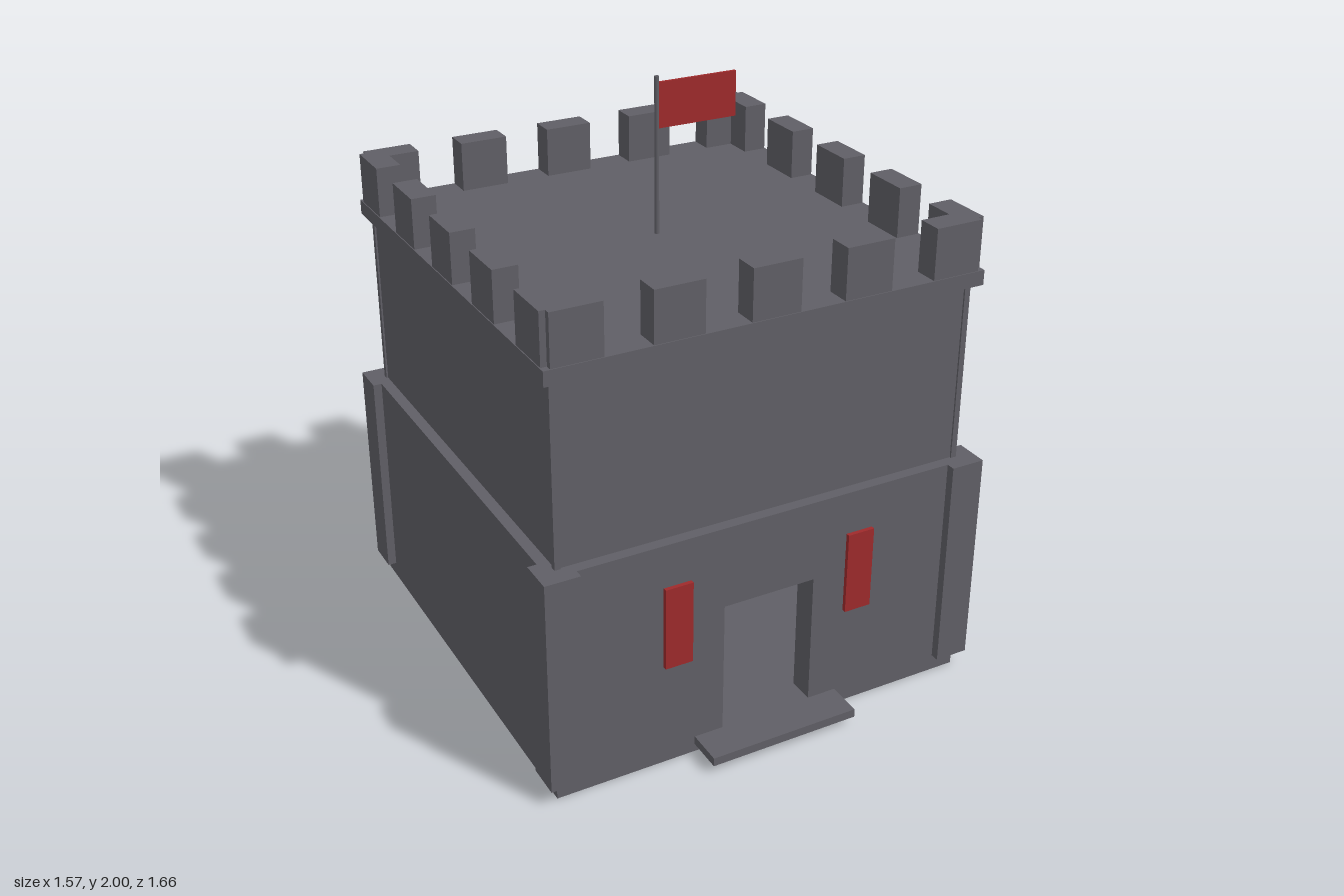
import * as THREE from 'three';

export function createModel() {
  const model = new THREE.Group();
  const stone = new THREE.MeshStandardMaterial({ color: 0x605f66 });
  stone.name = 'stone';
  const red = new THREE.MeshStandardMaterial({ color: 0x9e2a2b });
  red.name = 'red';

  // The square keep is set back a little to leave room for the doorstep
  const keep = new THREE.Group();
  keep.name = 'keep';
  keep.position.z = -0.047;
  model.add(keep);

  function add(parent, name, geometry, material = stone) {
    const mesh = new THREE.Mesh(geometry, material);
    mesh.name = name;
    parent.add(mesh);
    return mesh;
  }
  // Box given by its lower and upper corners
  function box(parent, name, [x0, y0, z0], [x1, y1, z1], material) {
    const mesh = add(parent, name, new THREE.BoxGeometry(x1 - x0, y1 - y0, z1 - z0), material);
    mesh.position.set((x0 + x1) / 2, (y0 + y1) / 2, (z0 + z1) / 2);
    return mesh;
  }

  // Plinth, upper storey and roof slab
  box(keep, 'plinth', [-0.75, 0, -0.75], [0.75, 0.06, 0.75]);
  box(keep, 'upperStorey', [-0.715, 0.81, -0.715], [0.715, 1.425, 0.715]);
  box(keep, 'roofSlab', [-0.748, 1.425, -0.748], [0.748, 1.475, 0.748]);

  // Front wall with a doorway into the hollow lower storey
  const wall = 0.753, thick = 0.09, inner = wall - thick;
  const front = new THREE.Shape([
    [-wall, 0.06], [-0.163, 0.06], [-0.163, 0.525], [0.163, 0.525],
    [0.163, 0.06], [wall, 0.06], [wall, 0.81], [-wall, 0.81],
  ].map(([x, y]) => new THREE.Vector2(x, y)));
  add(keep, 'frontWall', new THREE.ExtrudeGeometry(front, { depth: thick, bevelEnabled: false }))
    .position.z = inner;
  box(keep, 'backWall', [-wall, 0.06, -wall], [wall, 0.81, -inner]);
  box(keep, 'rightWall', [-wall, 0.06, -inner], [-inner, 0.81, inner]);
  box(keep, 'leftWall', [inner, 0.06, -inner], [wall, 0.81, inner]);

  // Corner piers and slim corner posts
  for (const sx of [-1, 1]) {
    for (const sz of [-1, 1]) {
      const pier = add(keep, 'cornerPier', new THREE.BoxGeometry(0.118, 0.75, 0.118));
      pier.position.set(sx * 0.724, 0.435, sz * 0.724);
      const post = add(keep, 'cornerPost', new THREE.BoxGeometry(0.02, 0.615, 0.02));
      post.position.set(sx * 0.711, 1.1175, sz * 0.711);
    }
  }

  // Battlements: five merlons on each of four sides
  for (let side = 0; side < 4; side++) {
    const row = new THREE.Group();
    row.name = 'battlementRow';
    row.rotation.y = side * Math.PI / 2;
    keep.add(row);
    for (let i = -2; i <= 2; i++) {
      const x = i * 0.321;
      box(row, 'merlon', [x - 0.083, 1.475, 0.662], [x + 0.083, 1.645, 0.745]);
    }
  }

  // Doorstep and windows
  box(keep, 'doorstep', [-0.265, 0.03, 0.745], [0.265, 0.06, 0.877]);
  for (const s of [-1, 1]) {
    box(keep, 'window', [s * 0.33 - 0.048, 0.37, 0.75], [s * 0.33 + 0.048, 0.66, 0.767], red);
  }

  // Flagpole and flag
  add(keep, 'flagpole', new THREE.CylinderGeometry(0.008, 0.008, 0.525, 8))
    .position.set(0, 1.7375, 0);
  box(keep, 'flag', [0.004, 1.83, -0.005], [0.284, 1.98, 0.005], red);

  return model;
}
